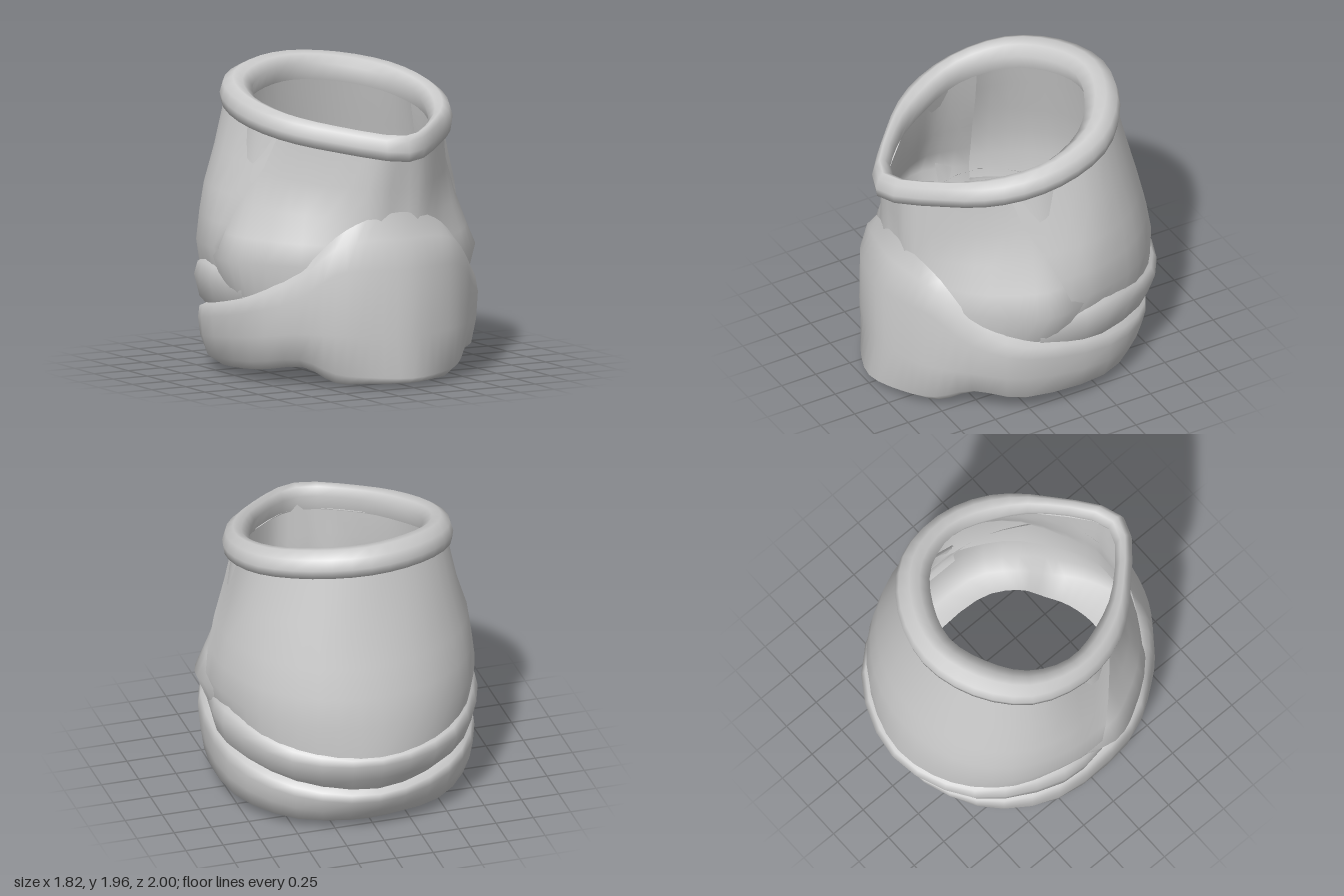
import * as THREE from 'three';
import { mergeVertices } from 'three/addons/utils/BufferGeometryUtils.js';

const material = new THREE.MeshStandardMaterial({ color: 0xcccccc, side: THREE.DoubleSide });
const STEPS = 3;

// Point from polar position; angle in degrees, 0 is the front, 90 the left side
function polar(r, y, deg) {
  const a = THREE.MathUtils.degToRad(deg);
  return new THREE.Vector3(r * Math.sin(a), y, r * Math.cos(a));
}

// Mirrored skin through vertical profiles. A column is { a: angle, p: [[radius, y, ownAngle?], ...] },
// listed top to bottom. "middle" is the angle the columns are mirrored about.
function skin(name, columns, middle, closed = false) {
  const rows = columns[0].p.map((_, i) => {
    const half = columns.map(c => polar(c.p[i][0], c.p[i][1], c.p[i][2] ?? c.a));
    const flip = half.map(v => new THREE.Vector3(-v.x, v.y, v.z)).reverse();
    let points;
    if (closed) points = [...half, ...flip.slice(1, -1)];
    else if (middle === 180) points = [...half, ...flip.slice(1)];
    else points = [...flip, ...half.slice(1)];
    const curve = new THREE.CatmullRomCurve3(points, closed, 'catmullrom', 0.5);
    return curve.getPoints((closed ? points.length : points.length - 1) * STEPS);
  });
  const n = rows[0].length, index = [];
  for (let i = 0; i < rows.length - 1; i++) {
    for (let j = 0; j < n - 1; j++) {
      const a = i * n + j, b = a + 1, c = a + n, d = c + 1;
      index.push(a, c, b, b, c, d);
    }
  }
  let geometry = new THREE.BufferGeometry().setFromPoints(rows.flat());
  geometry.setIndex(index);
  geometry = mergeVertices(geometry, 1e-4);
  geometry.computeVertexNormals();
  const mesh = new THREE.Mesh(geometry, material);
  mesh.name = name;
  return mesh;
}

// Columns made from parallel lists of radii and heights
const column = (a, radii, heights) => ({ a, p: radii.map((r, i) => [r, heights[i]]) });

export function createModel() {
  const group = new THREE.Group();
  group.name = 'cuff';

  // Thick tilted rim: outer and inner radius by angle
  const rimSizes = [
    [0, 0.95, 0.82], [30, 0.78, 0.66], [60, 0.74, 0.57], [90, 0.735, 0.56],
    [120, 0.75, 0.54], [150, 0.74, 0.51], [180, 0.745, 0.52],
  ];
  const rimColumns = rimSizes.map(([a, ro, ri]) => {
    const base = z => 1.66 - 0.2 * z;
    const y = base(ro * Math.cos(THREE.MathUtils.degToRad(a)));
    return { a, p: [
      [ri + 0.03, y - 0.02], [ri, y + 0.09], [ri * 0.7 + ro * 0.3, y + 0.14],
      [ri * 0.4 + ro * 0.6, y + 0.155], [ro - 0.02, y + 0.12], [ro, y + 0.05],
      [ro - 0.01, y - 0.01], [ro - 0.1, y - 0.01],
    ] };
  });
  group.add(skin('rim', rimColumns, 180, true));

  // Front of the neck with its receding side panels
  group.add(skin('frontPanel', [
    column(0, [0.84, 0.82, 0.81, 0.82, 0.85, 0.85], [1.53, 1.27, 1.08, 0.9, 0.76, 0.56]),
    column(15, [0.81, 0.82, 0.82, 0.83, 0.85, 0.85], [1.54, 1.28, 1.08, 0.9, 0.76, 0.56]),
    column(45, [0.7, 0.71, 0.76, 0.82, 0.86, 0.82], [1.6, 1.3, 1.1, 0.92, 0.78, 0.54]),
    column(68, [0.66, 0.7, 0.76, 0.83, 0.89, 0.82], [1.65, 1.35, 1.12, 0.93, 0.78, 0.54]),
    column(84, [0.66, 0.71, 0.78, 0.85, 0.915, 0.82], [1.68, 1.38, 1.14, 0.94, 0.78, 0.55]),
    column(104, [0.64, 0.69, 0.76, 0.8, 0.84, 0.79], [1.7, 1.4, 1.15, 0.95, 0.78, 0.55]),
  ], 0));

  // Back shell, its front edge sweeping down and backwards
  group.add(skin('backShell', [
    { a: 75, p: [[0.67, 1.62, 62], [0.72, 1.38, 70], [0.79, 1.18, 79],
      [0.845, 1, 85], [0.875, 0.85, 89], [0.84, 0.66, 90]] },
    column(105, [0.69, 0.76, 0.83, 0.86, 0.88, 0.84], [1.72, 1.42, 1.2, 1, 0.83, 0.68]),
    column(130, [0.72, 0.79, 0.86, 0.895, 0.915, 0.89], [1.77, 1.46, 1.2, 1, 0.82, 0.63]),
    column(155, [0.71, 0.79, 0.865, 0.91, 0.94, 0.93], [1.81, 1.49, 1.2, 1, 0.81, 0.58]),
    column(180, [0.71, 0.78, 0.86, 0.91, 0.945, 0.955], [1.83, 1.5, 1.2, 1, 0.8, 0.56]),
  ], 180));

  // Raised band around the back
  group.add(skin('backBand', [
    column(76, [0.82, 0.84, 0.84, 0.82, 0.8], [0.68, 0.65, 0.58, 0.5, 0.46]),
    column(108, [0.83, 0.88, 0.9, 0.87, 0.8], [0.75, 0.71, 0.62, 0.48, 0.4]),
    column(145, [0.87, 0.94, 0.965, 0.92, 0.83], [0.66, 0.62, 0.56, 0.43, 0.34]),
    column(180, [0.93, 0.975, 1, 0.95, 0.86], [0.6, 0.58, 0.55, 0.43, 0.3]),
  ], 180));

  // Front shield running into the lower cuff, turned in underneath
  group.add(skin('lowerCuff', [
    column(0, [0.82, 0.86, 0.955, 0.945, 1, 0.94, 0.69], [1.12, 0.95, 0.77, 0.34, 0.07, 0.03, 0.015]),
    column(16, [0.82, 0.86, 0.94, 0.93, 0.95, 0.88, 0.68], [1.08, 0.95, 0.77, 0.34, 0.08, 0.03, 0.015]),
    column(30, [0.82, 0.88, 0.92, 0.93, 0.9, 0.82, 0.66], [0.97, 0.9, 0.74, 0.35, 0.1, 0.03, 0.03]),
    column(46, [0.84, 0.88, 0.9, 0.9, 0.85, 0.77, 0.64], [0.75, 0.7, 0.57, 0.35, 0.18, 0.12, 0.12]),
    column(70, [0.83, 0.875, 0.89, 0.875, 0.85, 0.77, 0.62], [0.57, 0.54, 0.46, 0.3, 0.14, 0.08, 0.09]),
    column(110, [0.81, 0.87, 0.88, 0.87, 0.83, 0.74, 0.6], [0.46, 0.43, 0.35, 0.23, 0.1, 0.04, 0.05]),
    column(145, [0.83, 0.9, 0.905, 0.88, 0.82, 0.7, 0.56], [0.37, 0.34, 0.28, 0.18, 0.07, 0.01, 0.02]),
    column(180, [0.85, 0.92, 0.91, 0.86, 0.79, 0.69, 0.53], [0.33, 0.3, 0.24, 0.15, 0.08, 0.01, 0.01]),
  ], 180, true));

  return group;
}
